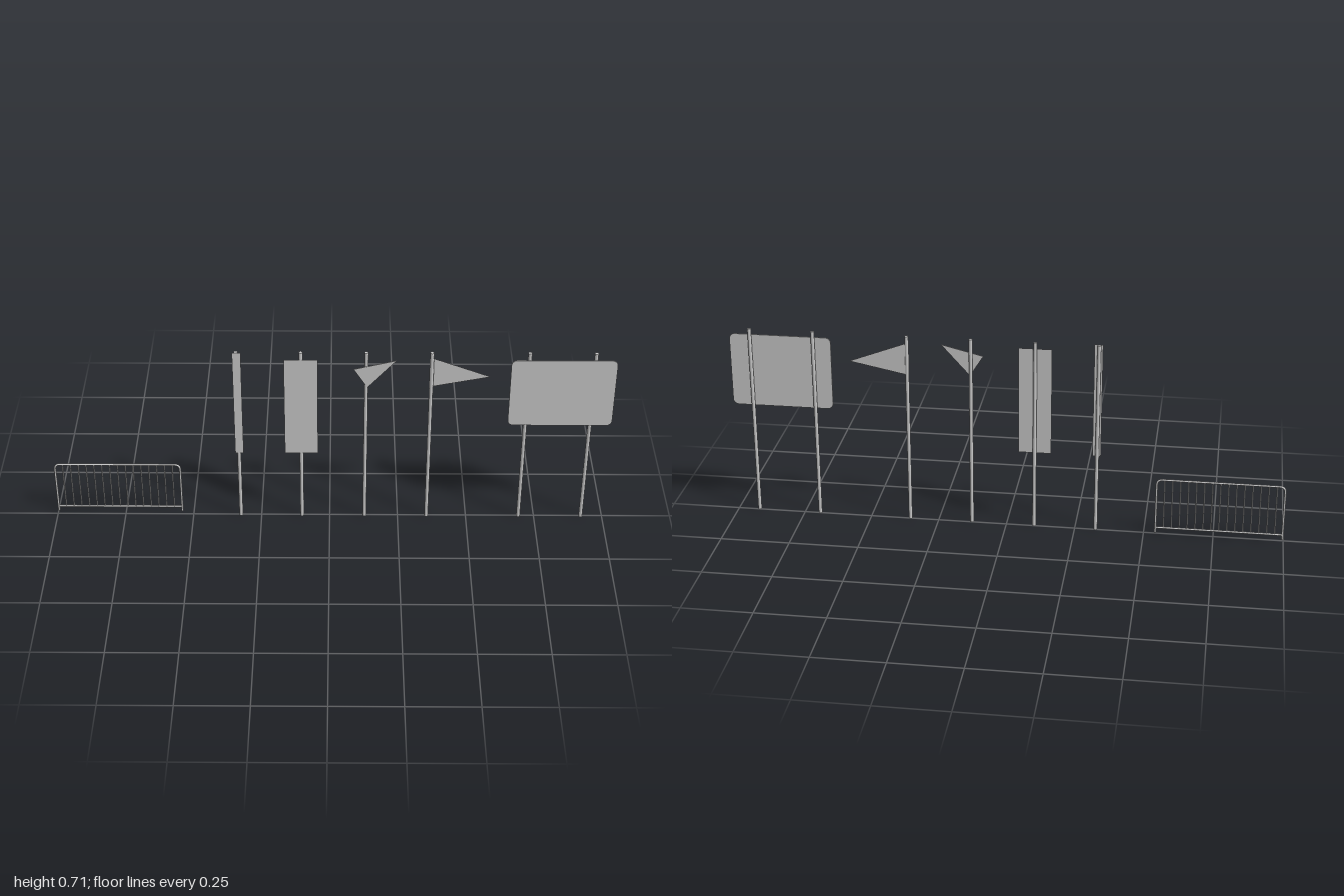
import * as THREE from 'three';

const POST_Z = 0.003, POST_R = 0.0068, POST_H = 0.715;

export function createModel() {
  const model = new THREE.Group();
  const grey = new THREE.MeshStandardMaterial({ color: 0xcccccc });
  const thin = new THREE.MeshStandardMaterial({ color: 0xcccccc, side: THREE.DoubleSide });

  const add = (parent, name, geometry, material, x = 0, y = 0, z = 0) => {
    const mesh = new THREE.Mesh(geometry, material);
    mesh.name = name;
    mesh.position.set(x, y, z);
    parent.add(mesh);
    return mesh;
  };
  const group = (name) => {
    const g = new THREE.Group();
    g.name = name;
    model.add(g);
    return g;
  };
  const post = (parent, x) =>
    add(parent, 'post', new THREE.CylinderGeometry(POST_R, POST_R, POST_H, 12), grey, x, POST_H / 2, POST_Z);
  const triangle = (points) => new THREE.Shape(points.map(([x, y]) => new THREE.Vector2(x, y)));

  // Crowd barrier: bent tube frame, bottom rail and upright bars
  const barrier = group('barrier');
  const [x0, x1, foot, top, rail, z, r, bend] = [-0.996, -0.542, 0.009, 0.218, 0.028, -0.009, 0.004, 0.02];
  const v = (x, y) => new THREE.Vector3(x, y, z);
  const path = new THREE.CurvePath();
  path.add(new THREE.LineCurve3(v(x0, foot), v(x0, top - bend)));
  path.add(new THREE.QuadraticBezierCurve3(v(x0, top - bend), v(x0, top), v(x0 + bend, top)));
  path.add(new THREE.LineCurve3(v(x0 + bend, top), v(x1 - bend, top)));
  path.add(new THREE.QuadraticBezierCurve3(v(x1 - bend, top), v(x1, top), v(x1, top - bend)));
  path.add(new THREE.LineCurve3(v(x1, top - bend), v(x1, foot)));
  add(barrier, 'frame', new THREE.TubeGeometry(path, 160, r, 8), grey);
  for (const x of [x0, x1]) {
    const cap = add(barrier, 'footCap', new THREE.CircleGeometry(r, 8), grey, x, foot, z);
    cap.rotation.x = Math.PI / 2;
  }
  const railMesh = add(barrier, 'bottomRail', new THREE.CylinderGeometry(r, r, x1 - x0, 8), grey, (x0 + x1) / 2, rail, z);
  railMesh.rotation.z = Math.PI / 2;
  const bars = 15;
  for (let i = 1; i <= bars; i++) {
    const x = x0 + ((x1 - x0) * i) / (bars + 1);
    add(barrier, 'bar', new THREE.CylinderGeometry(0.0026, 0.0026, top - rail, 8), grey, x, (top + rail) / 2, z);
  }

  // Narrow marker strip on a post
  const marker = group('markerSign');
  post(marker, -0.325);
  add(marker, 'strip', new THREE.PlaneGeometry(0.03, 0.427), thin, -0.323, 0.5015, 0.0105);

  // Tall rectangular panel on a post
  const tall = group('tallSign');
  post(tall, -0.101);
  add(tall, 'panel', new THREE.PlaneGeometry(0.118, 0.4), thin, -0.101, 0.488, 0.0105);

  // Tilted triangular pointer on a post
  const pointer = group('pointerSign');
  post(pointer, 0.127);
  add(pointer, 'pointerPlate', new THREE.ExtrudeGeometry(
    triangle([[0.083, 0.65], [0.131, 0.574], [0.233, 0.687]]),
    { depth: 0.002, bevelEnabled: false }), grey, 0, 0, 0.0095);

  // Pennant with a sleeve around its pole
  const pennant = group('pennant');
  post(pennant, 0.355);
  add(pennant, 'sleeve', new THREE.CylinderGeometry(0.0074, 0.0074, 0.12, 12, 1, true), thin, 0.355, 0.63, POST_Z);
  add(pennant, 'flag', new THREE.ShapeGeometry(
    triangle([[0.355, 0.57], [0.562, 0.612], [0.355, 0.69]])), thin, 0, 0, -0.002);

  // Wide board with rounded corners on two posts
  const wide = group('wideSign');
  post(wide, 0.693);
  post(wide, 0.922);
  const [l, rt, b, t, c] = [0.63, 0.998, 0.417, 0.69, 0.02];
  const outline = new THREE.Shape();
  outline.absarc(rt - c, t - c, c, 0, Math.PI / 2);
  outline.absarc(l + c, t - c, c, Math.PI / 2, Math.PI);
  outline.absarc(l + c, b + c, c, Math.PI, Math.PI * 1.5);
  outline.absarc(rt - c, b + c, c, Math.PI * 1.5, Math.PI * 2);
  add(wide, 'board', new THREE.ExtrudeGeometry(outline,
    { depth: 0.004, bevelEnabled: false, curveSegments: 8 }), grey, 0, 0, 0.01);

  return model;
}
